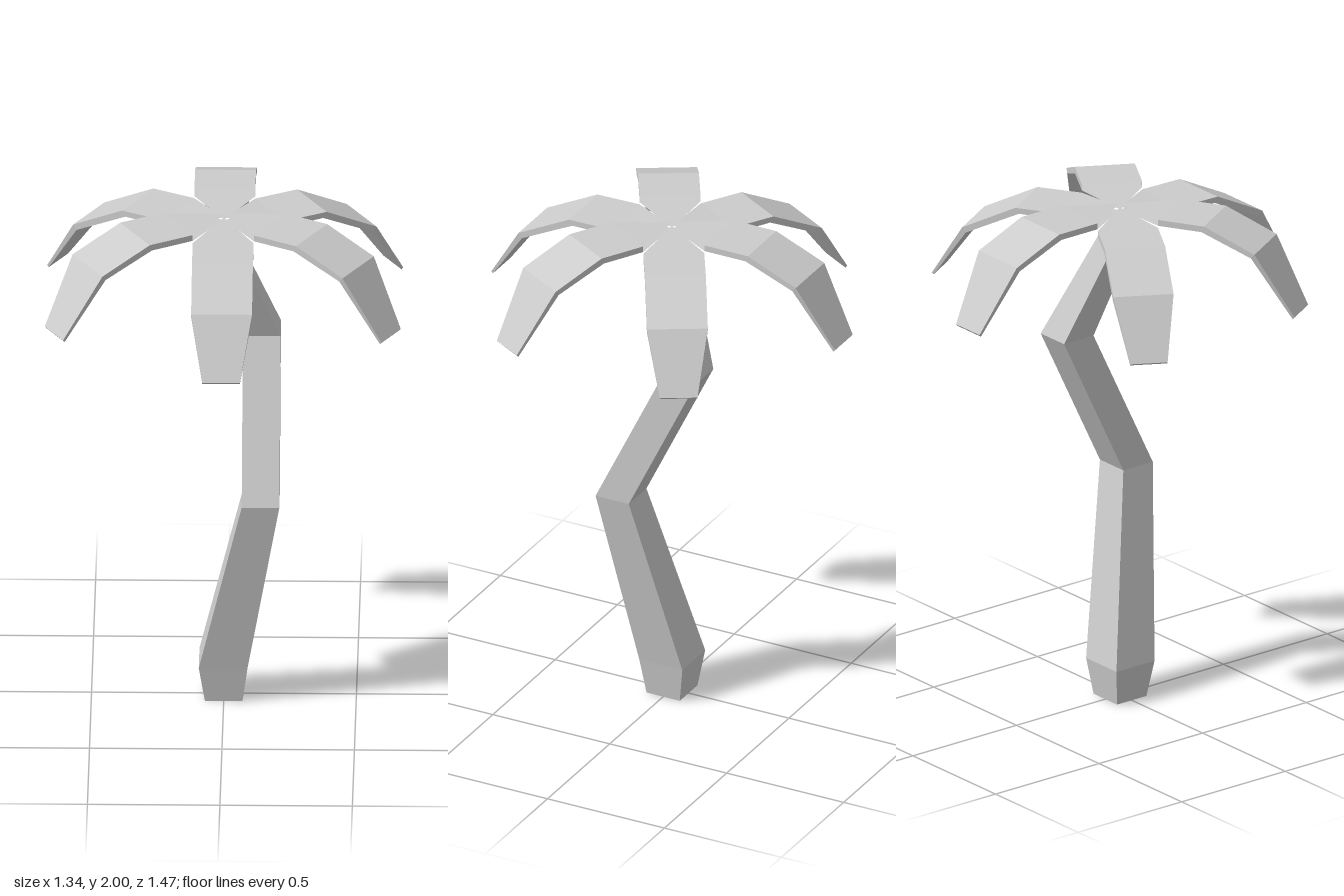
import * as THREE from 'three';

const grey = new THREE.MeshStandardMaterial({ color: 0xcccccc });
grey.name = 'plainGrey';
grey.flatShading = true;
grey.side = THREE.DoubleSide;

// Flat-faced geometry from four-sided faces
function fromQuads(quads) {
  const pts = [];
  for (const [a, b, c, d] of quads) pts.push(...a, ...b, ...c, ...a, ...c, ...d);
  const geo = new THREE.BufferGeometry();
  geo.setAttribute('position', new THREE.Float32BufferAttribute(pts, 3));
  geo.computeVertexNormals();
  return geo;
}

// Bent square trunk; each section is [x, y, z, half width]
function trunkGeometry() {
  const sections = [
    [0, 0, 0, 0.071],
    [-0.002, 0.145, 0, 0.092],
    [0.141, 0.872, 0.143, 0.071],
    [0.141, 1.455, -0.143, 0.071],
    [0, 1.885, 0, 0.05],
  ];
  const rings = sections.map(([x, y, z, h]) => [
    [x - h, y, z + h], [x + h, y, z + h], [x + h, y, z - h], [x - h, y, z - h],
  ]);
  const quads = [rings[0].slice().reverse(), rings[rings.length - 1]];
  for (let s = 0; s + 1 < rings.length; s++) {
    for (let i = 0; i < 4; i++) {
      const j = (i + 1) % 4;
      quads.push([rings[s][i], rings[s][j], rings[s + 1][j], rings[s + 1][i]]);
    }
  }
  return fromQuads(quads);
}

// Drooping frond along +z; each section is [half width, top z, top y, under z, under y]
function frondGeometry(sections) {
  const rings = sections.map(([w, tz, ty, uz, uy]) => [
    [-w, ty, tz], [w, ty, tz], [w, uy, uz], [-w, uy, uz],
  ]);
  const quads = [];
  for (let s = 0; s + 1 < rings.length; s++) {
    const p = rings[s], n = rings[s + 1];
    for (let i = 0; i < 4; i++) {
      // The pointed root has no side walls, as it meets its neighbours
      if (s === 0 && i % 2 === 1) continue;
      const j = (i + 1) % 4;
      quads.push([n[i], n[j], p[j], p[i]]);
    }
  }
  const tip = rings[rings.length - 1];
  quads.push([tip[0], tip[3], tip[2], tip[1]]);
  return fromQuads(quads);
}

export function createModel() {
  const model = new THREE.Group();
  model.name = 'palmTree';

  const trunk = new THREE.Mesh(trunkGeometry(), grey);
  trunk.name = 'trunk';
  model.add(trunk);

  // Two frond shapes alternate around the crown
  const lowFrond = frondGeometry([
    [0, 0, 1.98, 0, 1.965],
    [0.115, 0.2, 1.968, 0.2, 1.944],
    [0.115, 0.38, 1.965, 0.365, 1.943],
    [0.115, 0.595, 1.855, 0.58, 1.836],
    [0.071, 0.735, 1.635, 0.728, 1.628],
  ]);
  const highFrond = frondGeometry([
    [0, 0, 1.995, 0, 1.972],
    [0.115, 0.2, 2, 0.2, 1.976],
    [0.115, 0.385, 2, 0.375, 1.976],
    [0.115, 0.59, 1.915, 0.576, 1.898],
    [0.071, 0.735, 1.665, 0.728, 1.657],
  ]);
  for (let k = 0; k < 6; k++) {
    const frond = new THREE.Mesh(k % 2 ? highFrond : lowFrond, grey);
    frond.name = k % 2 ? 'highFrond' : 'lowFrond';
    frond.rotation.y = (k * Math.PI) / 3;
    model.add(frond);
  }
  return model;
}
